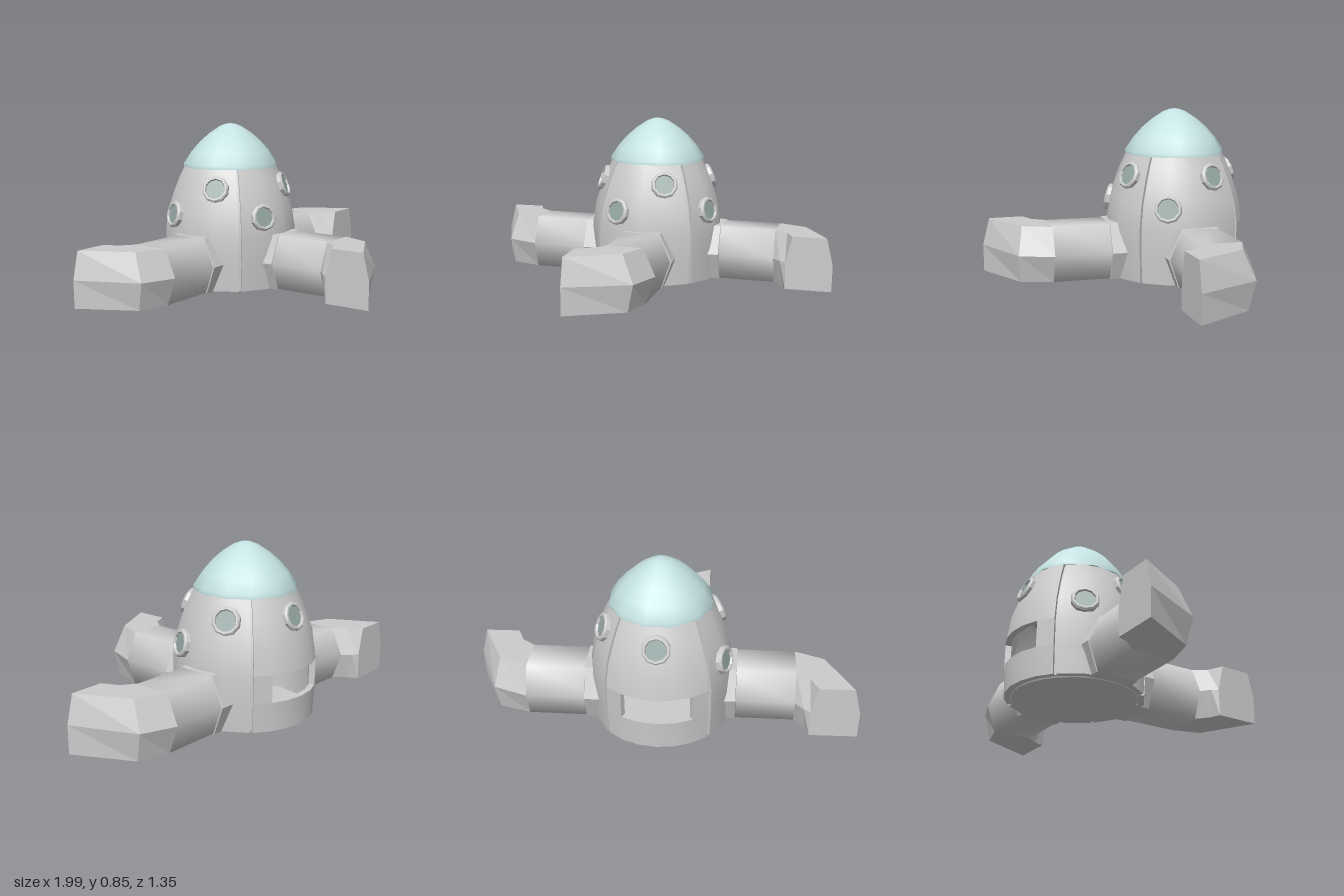
import * as THREE from 'three';
import { toCreasedNormals } from 'three/addons/utils/BufferGeometryUtils.js';

const DEG = Math.PI / 180;
const TURN = 12; // heading of the front leg, in degrees from +z
const WALL = 0.03;
const grey = new THREE.MeshStandardMaterial({ color: 0xcccccc });
const greyFlat = new THREE.MeshStandardMaterial({ color: 0xcccccc, flatShading: true });
const greyOpen = new THREE.MeshStandardMaterial({ color: 0xcccccc, side: THREE.DoubleSide });
const domeTint = new THREE.MeshStandardMaterial({ color: 0xc5e2e2 });
const glassTint = new THREE.MeshStandardMaterial({ color: 0x96a8a5 });

// Outer hull profile as [height, radius]
const HULL = [[0.005, 0.346], [0.15, 0.353], [0.285, 0.354], [0.4, 0.337], [0.5, 0.304], [0.57, 0.276], [0.628, 0.248]];

function hullRadius(y) {
  for (let i = 1; i < HULL.length; i++) {
    const [y0, r0] = HULL[i - 1], [y1, r1] = HULL[i];
    if (y <= y1) return r0 + (r1 - r0) * (y - y0) / (y1 - y0);
  }
  return HULL[HULL.length - 1][1];
}

function addMesh(parent, name, geometry, material) {
  const mesh = new THREE.Mesh(geometry, material);
  mesh.name = name;
  parent.add(mesh);
  return mesh;
}

// Curved wall piece between two heights and two headings, with closed ends
function addWall(parent, name, y0, y1, from, to, segments, inset = 0) {
  const heights = [y0, ...HULL.map(p => p[0]).filter(y => y > y0 + 0.001 && y < y1 - 0.001), y1];
  const outer = heights.map(y => new THREE.Vector2(hullRadius(y) - inset, y));
  const inner = heights.map(y => new THREE.Vector2(hullRadius(y) - WALL, y)).reverse();
  const outline = [...outer, ...inner];
  const piece = new THREE.Group();
  piece.name = name;
  const skin = new THREE.LatheGeometry([...outline, outline[0]], segments, from * DEG, (to - from) * DEG);
  addMesh(piece, name + 'Skin', toCreasedNormals(skin, 0.7), greyOpen);
  for (const heading of [from, to]) {
    const cap = new THREE.ShapeGeometry(new THREE.Shape(outline));
    addMesh(piece, name + 'End', cap.rotateY((heading - 90) * DEG), greyOpen);
  }
  parent.add(piece);
}

// Six-sided tube through stations; each gives the two side ridges and how far the top and bottom are drawn in
function loft(stations, y0, y1, capped) {
  const rings = stations.map(({ inner, outer, top, bottom }) => {
    const point = (t, y) => [inner[0] + (outer[0] - inner[0]) * t, y, inner[1] + (outer[1] - inner[1]) * t];
    const mid = (y0 + y1) / 2;
    return [point(bottom, y0), point(0, mid), point(top, y1), point(1 - top, y1), point(1, mid), point(1 - bottom, y0)];
  });
  const positions = [];
  const face = (...corners) => corners.forEach(c => positions.push(...c));
  for (let j = 0; j + 1 < rings.length; j++) {
    for (let k = 0; k < 6; k++) {
      const n = (k + 1) % 6;
      const a = rings[j][k], b = rings[j][n], c = rings[j + 1][n], d = rings[j + 1][k];
      face(a, d, b);
      face(b, d, c);
    }
  }
  if (capped) {
    const end = rings[rings.length - 1];
    for (let k = 1; k < 5; k++) face(end[0], end[k + 1], end[k]);
  }
  const geometry = new THREE.BufferGeometry();
  geometry.setAttribute('position', new THREE.Float32BufferAttribute(positions, 3));
  geometry.computeVertexNormals();
  return geometry;
}

const straight = (z, grow = 0) => ({ inner: [-0.14 - grow, z], outer: [0.17 + grow, z], top: 0.2, bottom: 0.16 });

function makeLeg(name) {
  const leg = new THREE.Group();
  leg.name = name;
  addMesh(leg, 'legTube', toCreasedNormals(loft([straight(0.3), straight(0.665)], 0.008, 0.286), 1.3), grey);
  addMesh(leg, 'legCollar', loft([straight(0.295, 0.008), straight(0.372, 0.008), straight(0.374)], 0.004, 0.291), greyFlat);
  // Foot that hooks sideways and ends in a flat face
  const foot = [
    straight(0.665),
    { inner: [-0.185, 0.705], outer: [0.108, 0.836], top: 0.2, bottom: 0.1 },
    { inner: [-0.207, 0.735], outer: [-0.202, 0.974], top: 0.14, bottom: 0.01 },
  ];
  addMesh(leg, 'hookedFoot', loft(foot, 0.008, 0.286, true), greyFlat);
  return leg;
}

function makeWindow(heading, y, tilt) {
  const porthole = new THREE.Group();
  porthole.name = 'porthole';
  const rim = [[0.05, -0.035], [0.07, -0.035], [0.07, 0.008], [0.062, 0.016], [0.054, 0.016], [0.05, 0.008], [0.05, -0.035]];
  const ring = new THREE.LatheGeometry(rim.map(p => new THREE.Vector2(...p)), 10).rotateX(Math.PI / 2);
  addMesh(porthole, 'portholeFrame', toCreasedNormals(ring, 0.5), greyOpen);
  addMesh(porthole, 'portholeGlass', new THREE.CylinderGeometry(0.052, 0.052, 0.04, 10).rotateX(Math.PI / 2).translate(0, 0, -0.014), glassTint);
  const r = hullRadius(y);
  porthole.position.set(r * Math.sin(heading * DEG), y, r * Math.cos(heading * DEG));
  porthole.rotation.set(-tilt * DEG, heading * DEG, 0, 'YXZ');
  return porthole;
}

export function createModel() {
  const model = new THREE.Group();
  model.name = 'landingPod';
  const pod = new THREE.Group();
  pod.name = 'pod';
  pod.position.z = -0.325;
  model.add(pod);

  // Hull: three plain panels, and a rear one with an open hatch
  const bottom = HULL[0][0], top = HULL[HULL.length - 1][0], half = 43.7;
  for (const offset of [0, 90, -90]) {
    addWall(pod, 'hullPanel', bottom, top, TURN + offset - half, TURN + offset + half, 4);
  }
  const rear = TURN + 180, gap = 29;
  addWall(pod, 'hatchSill', bottom, 0.15, rear - half, rear + half, 6);
  addWall(pod, 'hatchLintel', 0.285, top, rear - half, rear + half, 6);
  addWall(pod, 'hatchPost', 0.15, 0.285, rear - half, rear - gap, 1);
  addWall(pod, 'hatchPost', 0.15, 0.285, rear + gap, rear + half, 1);

  // Recessed strips in the seams between panels
  for (let i = 0; i < 4; i++) {
    const heading = TURN + 45 + i * 90;
    addWall(pod, 'seamStrip', bottom, top, heading - 2, heading + 2, 1, 0.018);
  }

  // Floor plate
  addMesh(pod, 'floor', new THREE.CylinderGeometry(0.32, 0.31, 0.02, 24), grey).position.y = 0.01;

  // Nose dome
  const profile = [[0, 0.626], [0.255, 0.626], [0.253, 0.645], [0.213, 0.705], [0.167, 0.757], [0.115, 0.802], [0.06, 0.838], [0.025, 0.851], [0, 0.854]];
  const dome = new THREE.LatheGeometry(profile.map(p => new THREE.Vector2(...p)), 12);
  addMesh(pod, 'noseDome', toCreasedNormals(dome, 0.9), domeTint);

  // Portholes: one low and one high on each plain panel, one above the hatch
  for (const offset of [0, 90, -90]) {
    pod.add(makeWindow(TURN + offset - 23, 0.385, 13));
    pod.add(makeWindow(TURN + offset + 22, 0.53, 21));
  }
  pod.add(makeWindow(rear, 0.53, 21));

  // Legs
  for (const [name, offset] of [['frontLeg', 0], ['leftLeg', 90], ['rightLeg', -90]]) {
    const leg = makeLeg(name);
    leg.rotation.y = (TURN + offset) * DEG;
    pod.add(leg);
  }
  return model;
}
